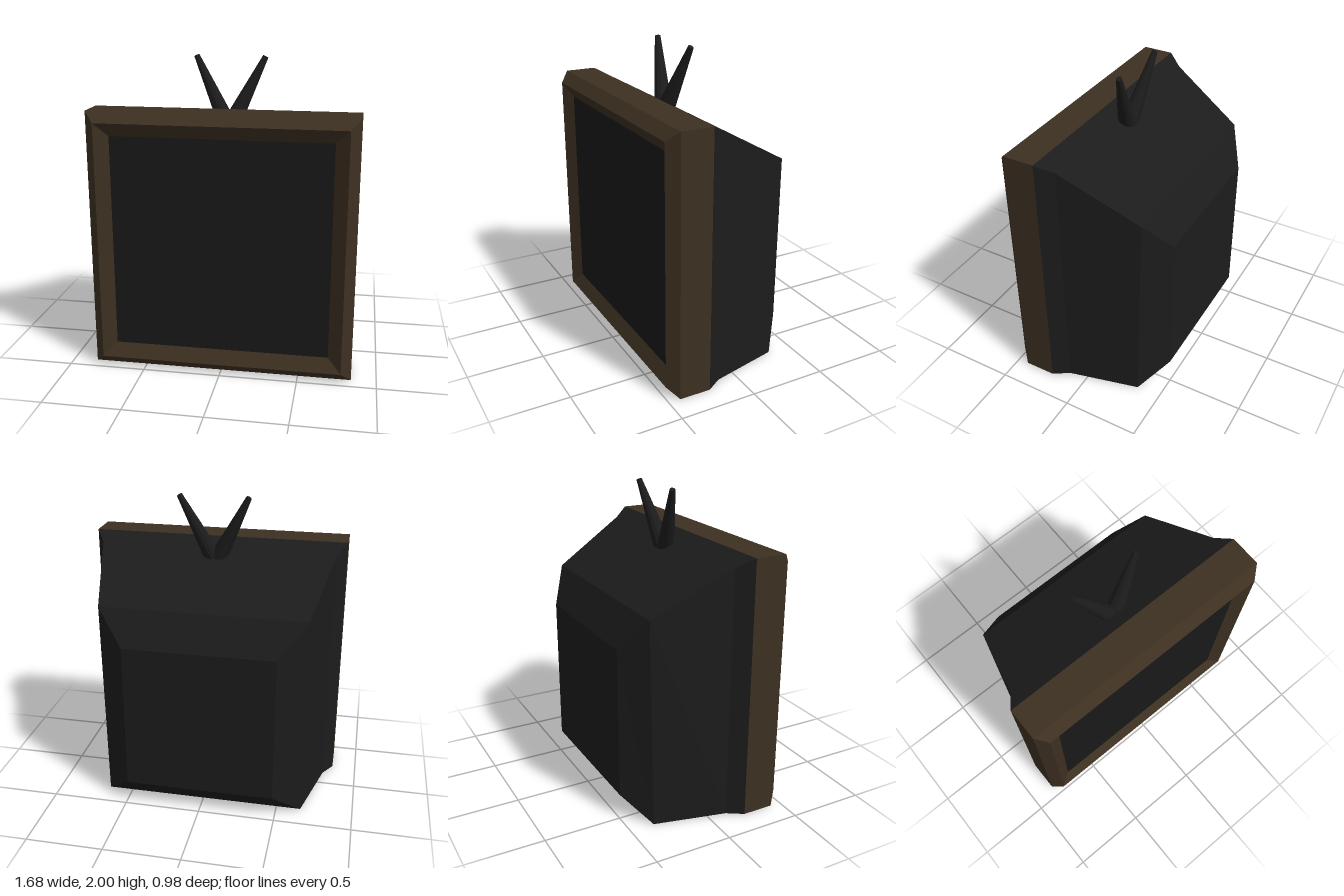
import * as THREE from 'three';

const mat = (color) => new THREE.MeshStandardMaterial({ color, flatShading: true });

// Lofts rectangular rings listed back to front: [halfWidth, bottom, top, zBottom, zTop]
function loft(rings, { capBack = false, capFront = false } = {}) {
  const pos = [];
  const corners = rings.map(([w, b, t, zb, zt = zb]) => [
    [-w, b, zb], [w, b, zb], [w, t, zt], [-w, t, zt],
  ]);
  const quad = (a, b, c, d) => pos.push(...a, ...b, ...c, ...a, ...c, ...d);
  for (let r = 0; r < corners.length - 1; r++) {
    const A = corners[r], B = corners[r + 1];
    for (let i = 0; i < 4; i++) {
      const j = (i + 1) % 4;
      quad(A[i], A[j], B[j], B[i]);
    }
  }
  if (capBack) quad(...[...corners[0]].reverse());
  if (capFront) quad(...corners[corners.length - 1]);
  const geo = new THREE.BufferGeometry();
  geo.setAttribute('position', new THREE.Float32BufferAttribute(pos, 3));
  geo.computeVertexNormals();
  return geo;
}

export function createModel() {
  const group = new THREE.Group();
  const brown = mat(0x3d3021);
  const black = mat(0x1c1c1c);
  const add = (name, geo, material) => {
    const mesh = new THREE.Mesh(geo, material);
    mesh.name = name;
    group.add(mesh);
    return mesh;
  };

  // Bevelled wooden frame with an inward sloping lip
  add('frame', loft([
    [0.84, 0.005, 1.685, 0.22],
    [0.84, 0.005, 1.685, 0.425],
    [0.775, 0.07, 1.62, 0.49],
    [0.69, 0.157, 1.535, 0.44],
  ]), brown);

  // Flat screen set into the frame
  const screen = add('screen', new THREE.PlaneGeometry(1.38, 1.378), mat(0x191919));
  screen.position.set(0, 0.846, 0.44);

  // Tapered rear housing with a sloping top and chamfered back
  add('housing', loft([
    [0.485, 0.16, 1.135, -0.49],
    [0.66, 0, 1.355, -0.34, -0.367],
    [0.775, 0.004, 1.628, 0.12],
    [0.84, 0.005, 1.685, 0.22],
  ], { capBack: true }), black);

  // Pair of tapered aerials meeting in a V on the sloping top
  for (const side of [1, -1]) {
    const base = new THREE.Vector3(side * 0.005, 1.55, 0.093);
    const tip = new THREE.Vector3(side * 0.221, 1.992, 0.022);
    const axis = tip.clone().sub(base);
    const aerial = add(side > 0 ? 'leftAerial' : 'rightAerial',
      new THREE.CylinderGeometry(0.018, 0.06, axis.length(), 12), black);
    aerial.position.copy(base).add(tip).multiplyScalar(0.5);
    aerial.quaternion.setFromUnitVectors(new THREE.Vector3(0, 1, 0), axis.normalize());
  }

  return group;
}
